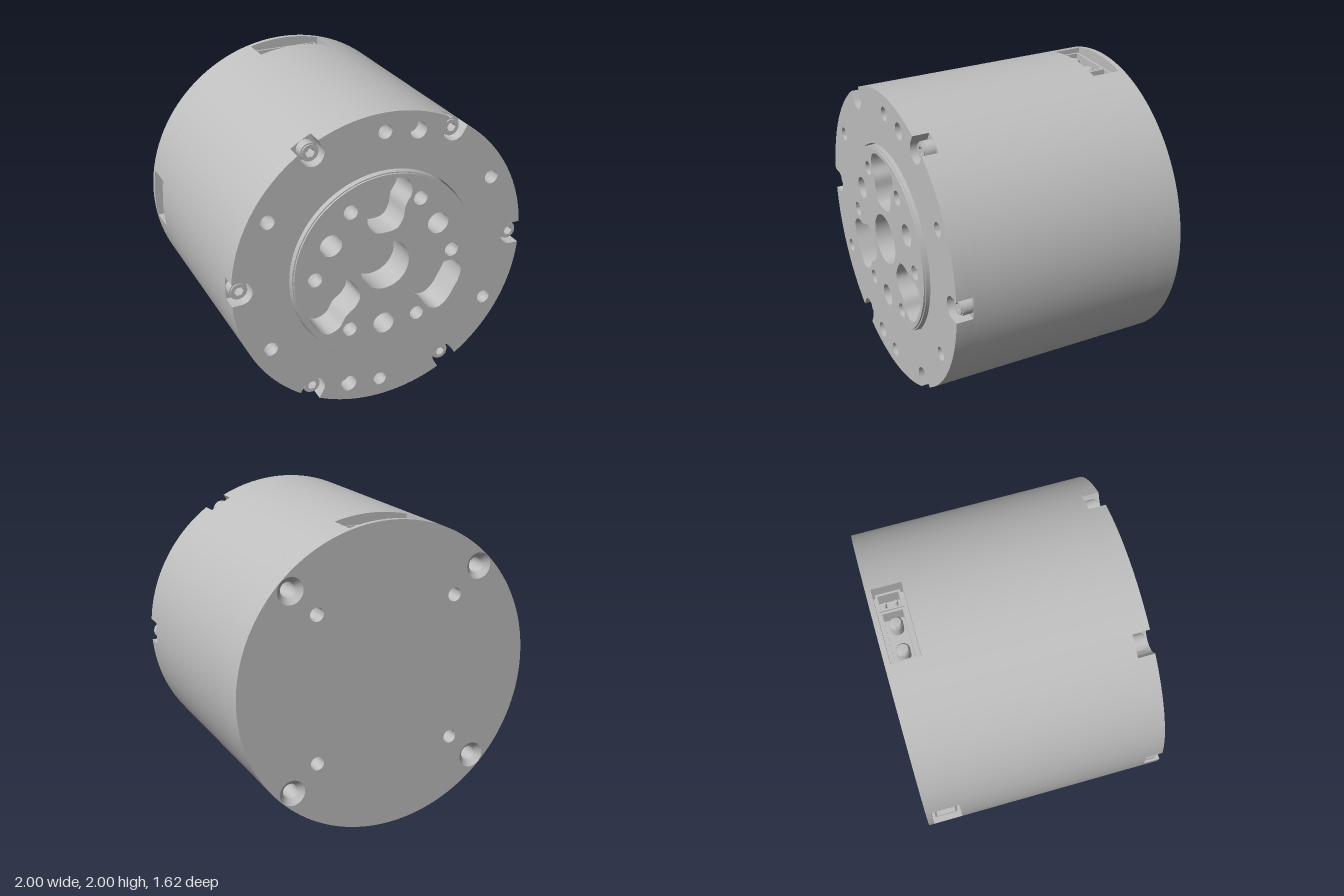
import * as THREE from 'three';
import { toCreasedNormals } from 'three/addons/utils/BufferGeometryUtils.js';

const TAU = Math.PI * 2;
const BACK = -0.81, PLATE = -0.775, SLOT = -0.585, FLOOR = 0.6, STEP = 0.66, FACE = 0.77, HUB = 0.805;
const grey = new THREE.MeshStandardMaterial({ color: 0xbfbfbf, side: THREE.DoubleSide });
grey.name = 'grey metal';

const polar = (r, a) => new THREE.Vector2(r * Math.cos(a), r * Math.sin(a));
const six = [0, 1, 2, 3, 4, 5].map(i => i * TAU / 6);

function ring(r, x = 0, y = 0, n = 32, turn = 0) {
  const pts = [];
  for (let i = 0; i < n; i++) pts.push(polar(r, turn + i * TAU / n).add(new THREE.Vector2(x, y)));
  return new THREE.Shape(pts);
}

function rect(x0, x1, y0, y1) {
  return new THREE.Shape([[x0, y0], [x1, y0], [x1, y1], [x0, y1]].map(p => new THREE.Vector2(...p)));
}

// unit circle with cut-outs; each notch is { a: angle, w: half width, pts: inner corners in radial frame }
function notchedCircle(notches) {
  const pts = [], origin = new THREE.Vector2();
  notches.forEach((n, i) => {
    n.pts.forEach(([x, y]) => pts.push(new THREE.Vector2(x, y).rotateAround(origin, n.a)));
    const next = notches[(i + 1) % notches.length];
    const start = n.a + Math.asin(n.w);
    let end = next.a - Math.asin(next.w);
    if (end <= start) end += TAU;
    const steps = Math.ceil((end - start) / 0.04);
    for (let k = 0; k <= steps; k++) pts.push(polar(1, start + (end - start) * k / steps));
  });
  return new THREE.Shape(pts);
}

function slab(name, shape, z0, z1, holes = []) {
  shape.holes.push(...holes);
  const geo = new THREE.ExtrudeGeometry(shape, { depth: z1 - z0, bevelEnabled: false });
  geo.translate(0, 0, z0);
  const mesh = new THREE.Mesh(toCreasedNormals(geo, 0.5), grey);
  mesh.name = name;
  return mesh;
}

// open cone, used for drill tips and countersinks
function cone(name, x, y, z0, r0, z1, r1) {
  const geo = new THREE.CylinderGeometry(r1, r0, z1 - z0, 28, 1, true);
  geo.rotateX(Math.PI / 2);
  const mesh = new THREE.Mesh(geo, grey);
  mesh.position.set(x, y, (z0 + z1) / 2);
  mesh.name = name;
  return mesh;
}

// rounded three-lobed pocket, narrow end toward the axis
function pocket(angle) {
  const half = [[0.1, 0.575], [0.16, 0.54], [0.175, 0.46], [0.135, 0.385], [0.12, 0.3], [0.08, 0.24]];
  const loop = [[0, 0.583], ...half, [0, 0.225], ...half.slice().reverse().map(([x, y]) => [-x, y])];
  const curve = new THREE.CatmullRomCurve3(loop.map(([x, y]) => new THREE.Vector3(x, y, 0)), true);
  const pts = curve.getPoints(70).slice(0, -1);
  return new THREE.Shape(pts.map(p => new THREE.Vector2(p.x, p.y).rotateAround(new THREE.Vector2(), angle)));
}

// upright frame or block, drawn in x and -z, standing in a side slot
function upright(name, shape, y0, y1, holes = []) {
  const mesh = slab(name, shape, y0, y1, holes);
  mesh.geometry.rotateX(-Math.PI / 2);
  return mesh;
}

function pin(name, x, z, r, top) {
  const profile = [[0, 0.82], [r, 0.82], [r, top - r * 0.5], [r * 0.75, top - r * 0.12], [0, top]];
  const mesh = new THREE.Mesh(toCreasedNormals(
    new THREE.LatheGeometry(profile.map(p => new THREE.Vector2(...p)), 20), 0.6), grey);
  mesh.position.set(x, 0, z);
  mesh.name = name;
  return mesh;
}

function powerConnector() {
  const g = new THREE.Group();
  g.name = 'powerConnector';
  g.add(upright('powerHousing', rect(-0.24, 0.1, 0.605, 0.76), 0.82, 0.94, [rect(-0.225, 0.085, 0.62, 0.745)]));
  g.add(upright('signalHousing', rect(0.105, 0.218, 0.605, 0.76), 0.82, 0.94, [rect(0.118, 0.205, 0.618, 0.747)]));
  for (const x of [-0.155, 0.02]) g.add(pin('powerPin', x, -0.68, 0.042, 0.935));
  for (const z of [-0.715, -0.645]) g.add(pin('signalPin', 0.16, z, 0.01, 0.92));
  return g;
}

function sideConnector() {
  const g = new THREE.Group();
  g.name = 'sideConnector';
  g.add(upright('sideHousing', rect(-0.15, 0.15, 0.605, 0.755), 0.82, 0.95, [rect(-0.135, 0.135, 0.62, 0.74)]));
  for (const x of [-0.07, 0, 0.07]) g.add(pin('sidePin', x, -0.68, 0.01, 0.92));
  return g;
}

export function createModel() {
  const model = new THREE.Group();
  model.name = 'motor';
  const body = new THREE.Group();
  body.name = 'body';
  body.position.y = 1;
  model.add(body);

  // back plate with countersunk and plain holes
  const corners = [[1, 1], [-1, 1], [-1, -1], [1, -1]];
  const backHoles = (r) => corners.flatMap(([x, y]) => [
    ring(r, x * 0.645, y * 0.645), ring(0.045, x * 0.475, y * 0.48)]);
  body.add(slab('backPlate', ring(1, 0, 0, 160), BACK, PLATE, backHoles(0.085)));
  for (const [x, y] of corners) {
    body.add(cone('countersink', x * 0.645, y * 0.645, BACK, 0.085, PLATE, 0.05));
  }

  // rear housing with connector slots on the top, right and bottom
  const slot = (a, w) => ({ a, w, pts: [[0.82, -w], [0.82, w]] });
  const slots = [slot(Math.PI / 2, 0.248), slot(Math.PI, 0.17), slot(Math.PI * 1.5, 0.248)];
  body.add(slab('rearHousing', notchedCircle(slots), PLATE, SLOT, backHoles(0.05)));
  for (const turn of [0, Math.PI]) {
    const c = powerConnector();
    c.rotation.z = turn;
    body.add(c);
  }
  const side = sideConnector();
  side.rotation.z = Math.PI / 2;
  body.add(side);

  // main housing, with a recess for the output hub
  body.add(slab('housing', ring(1, 0, 0, 160), SLOT, FLOOR));
  body.add(slab('housingRim', ring(1, 0, 0, 160), FLOOR, STEP, [ring(0.63, 0, 0, 96)]));

  // front flange with open screw notches, threaded holes and dowel holes
  const notches = six.map(a => {
    const pts = [];
    for (let i = 0; i <= 16; i++) {
      const t = -Math.PI / 2 - Math.PI * i / 16;
      pts.push([0.94 + 0.075 * Math.cos(t), 0.075 * Math.sin(t)]);
    }
    return { a, w: 0.075, pts };
  });
  const threaded = six.map(a => polar(0.877, a + TAU / 12));
  const dowels = [[0.225, 0.85], [-0.225, -0.85]];
  body.add(slab('frontFlange', notchedCircle(notches), STEP, FACE, [
    ring(0.63, 0, 0, 96),
    ...threaded.map(p => ring(0.046, p.x, p.y)),
    ...dowels.map(([x, y]) => ring(0.055, x, y))]));
  for (const p of threaded) body.add(cone('drillTip', p.x, p.y, 0.665, 0.001, 0.71, 0.046));

  // socket-head screws
  for (const a of six) {
    const p = polar(0.94, a);
    const head = slab('screwHead', ring(0.058), STEP, 0.725, [ring(0.03, 0, 0, 6)]);
    const rim = slab('screwRim', ring(0.05), 0.725, 0.735, [ring(0.03, 0, 0, 6)]);
    for (const m of [head, rim]) {
      m.position.set(p.x, p.y, 0);
      body.add(m);
    }
  }

  // output hub with centre bore, pockets and bolt holes
  const bolts = six.map(a => polar(0.475, a));
  const pinHoles = [30, 150, 270].map(d => polar(0.425, d * TAU / 360));
  const hubHoles = () => [
    ring(0.168, 0, 0, 64),
    ...[0, 1, 2].map(i => pocket(i * TAU / 3)),
    ...bolts.map(p => ring(0.048, p.x, p.y)),
    ...pinHoles.map(p => ring(0.073, p.x, p.y))];
  body.add(slab('outputHub', ring(0.62, 0, 0, 96), FLOOR, HUB - 0.012, hubHoles()));
  body.add(slab('outputHubFace', ring(0.612, 0, 0, 96), HUB - 0.012, HUB, hubHoles()));
  for (const p of bolts) body.add(cone('drillTip', p.x, p.y, 0.67, 0.001, 0.72, 0.048));

  return model;
}
